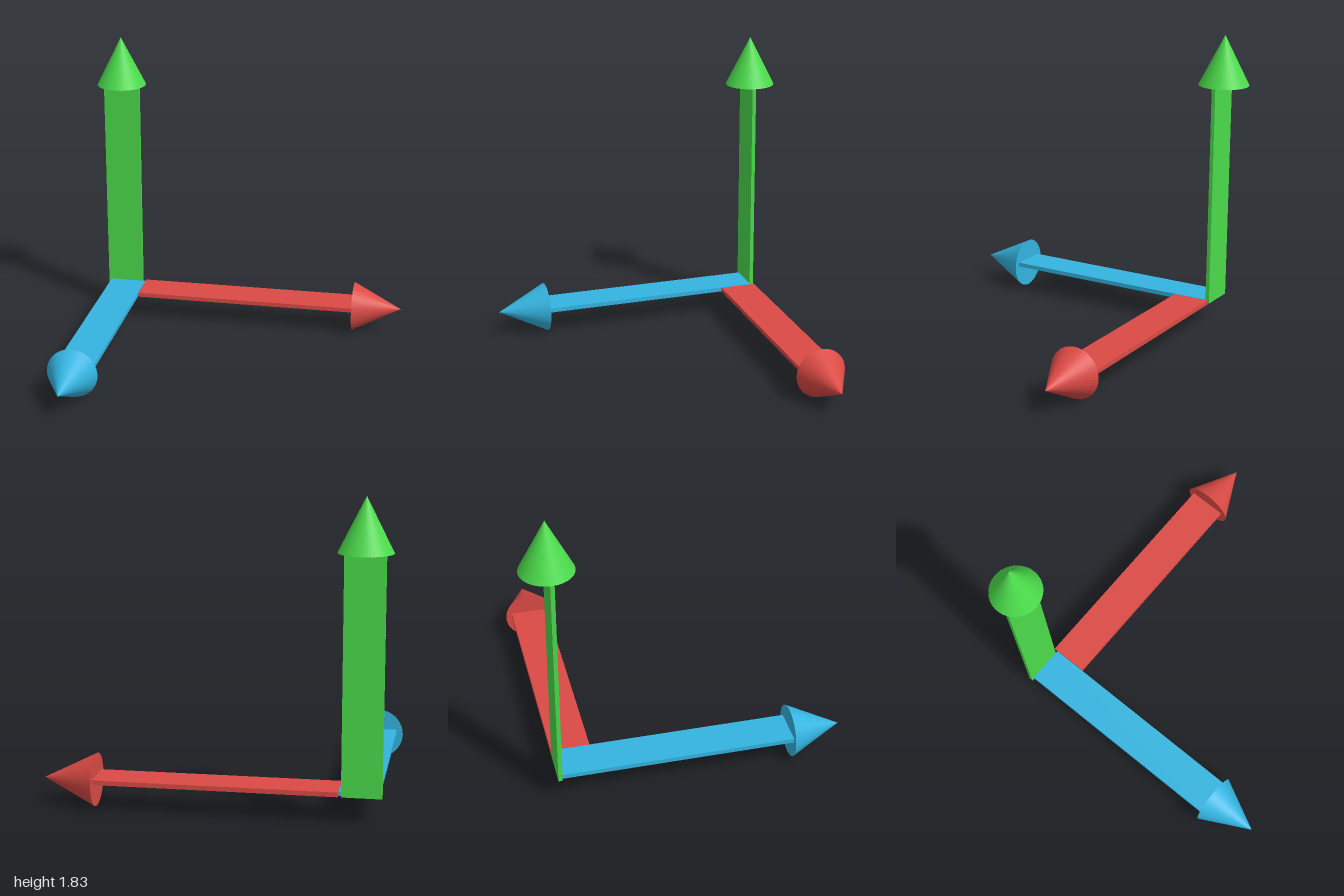
import * as THREE from 'three';

const GREEN = 0x4bdc4b, RED = 0xdb4a45, BLUE = 0x34b4e0;

export function createModel() {
  const group = new THREE.Group();
  group.name = 'axisArrows';

  // Flat shaft given by its lowest and highest corners
  function shaft(name, color, min, max) {
    const size = max.map((v, i) => v - min[i]);
    const mesh = new THREE.Mesh(
      new THREE.BoxGeometry(...size),
      new THREE.MeshStandardMaterial({ color })
    );
    mesh.name = name;
    mesh.position.set(...min.map((v, i) => v + size[i] / 2));
    return mesh;
  }

  // Cone head with its base centre at the given point, aimed along dir
  function head(name, color, base, dir) {
    const geometry = new THREE.ConeGeometry(0.154, 0.307, 48);
    geometry.translate(0, 0.1535, 0);
    const mesh = new THREE.Mesh(
      geometry,
      new THREE.MeshStandardMaterial({ color, flatShading: true })
    );
    mesh.name = name;
    mesh.position.set(...base);
    mesh.quaternion.setFromUnitVectors(new THREE.Vector3(0, 1, 0), new THREE.Vector3(...dir));
    return mesh;
  }

  function arrow(name, ...parts) {
    const g = new THREE.Group();
    g.name = name;
    g.add(...parts);
    group.add(g);
  }

  // Upright arrow
  arrow('upArrow',
    shaft('upShaft', GREEN, [-0.957, 0.157, -0.781], [-0.728, 1.525, -0.757]),
    head('upHead', GREEN, [-0.845, 1.525, -0.78], [0, 1, 0]));

  // Arrow toward +x
  arrow('sideArrow',
    shaft('sideShaft', RED, [-0.71, 0.157, -0.781], [0.69, 0.184, -0.552]),
    head('sideHead', RED, [0.69, 0.156, -0.664], [1, 0, 0]));

  // Arrow toward the front
  arrow('frontArrow',
    shaft('frontShaft', BLUE, [-0.94, 0.157, -0.757], [-0.712, 0.184, 0.62]),
    head('frontHead', BLUE, [-0.825, 0.156, 0.62], [0, 0, 1]));

  return group;
}
